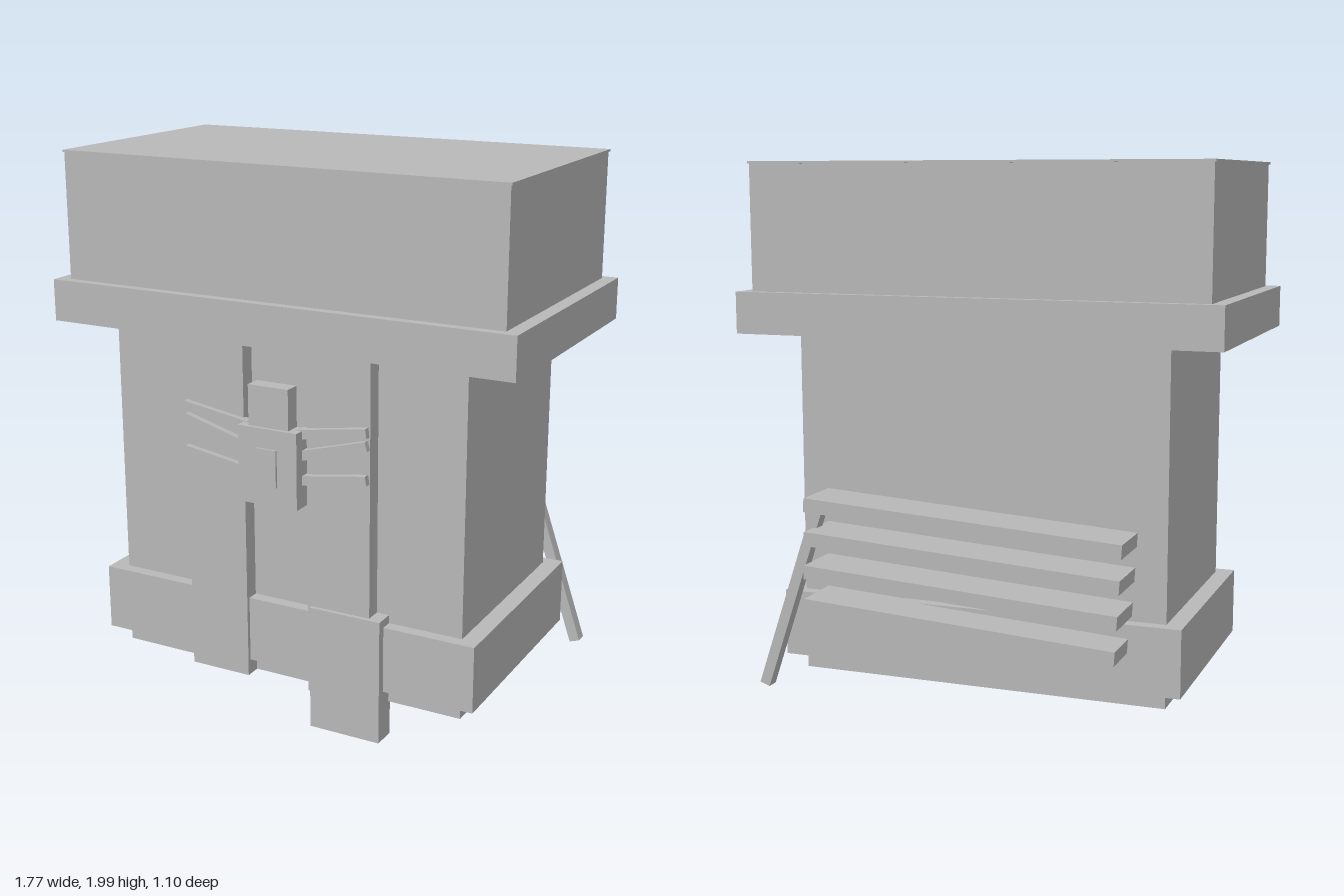
import * as THREE from 'three';

export function createModel() {
  const model = new THREE.Group();
  const stone = new THREE.MeshStandardMaterial({ color: 0xb8b8b8 });
  stone.name = 'grey stone';

  // Box given by its lower and upper limits on each axis
  function block(name, [x0, x1], [y0, y1], [z0, z1], parent = model) {
    const mesh = new THREE.Mesh(new THREE.BoxGeometry(x1 - x0, y1 - y0, z1 - z0), stone);
    mesh.position.set((x0 + x1) / 2, (y0 + y1) / 2, (z0 + z1) / 2);
    mesh.name = name;
    parent.add(mesh);
    return mesh;
  }

  // Straight bar between two points in the xy plane
  function bar(name, [ax, ay], [bx, by], thickness, [z0, z1], parent = model) {
    const length = Math.hypot(bx - ax, by - ay);
    const mesh = new THREE.Mesh(new THREE.BoxGeometry(length, thickness, z1 - z0), stone);
    mesh.position.set((ax + bx) / 2, (ay + by) / 2, (z0 + z1) / 2);
    mesh.rotation.z = Math.atan2(by - ay, bx - ax);
    mesh.name = name;
    parent.add(mesh);
    return mesh;
  }

  // Main building masses
  block('body', [-0.685, 0.685], [0.13, 1.38], [-0.32, 0.443]);
  block('baseBand', [-0.748, 0.748], [0.187, 0.43], [-0.365, 0.487]);
  block('cornice', [-0.885, 0.885], [1.38, 1.53], [-0.428, 0.545]);
  block('upperStorey', [-0.835, 0.835], [1.53, 1.98], [-0.396, 0.51]);
  block('roof', [-0.84, 0.84], [1.98, 1.988], [-0.4, 0.514]);

  // Front pilasters and the pedestal before them
  block('rightPilaster', [-0.363, -0.127], [0.13, 1.38], [0.43, 0.502]);
  block('leftPilaster', [0.122, 0.363], [0.13, 1.38], [0.43, 0.502]);
  block('pedestal', [0.138, 0.41], [0, 0.46], [0.43, 0.518]);

  // Winged emblem figure
  const figure = new THREE.Group();
  figure.name = 'wingedFigure';
  model.add(figure);
  block('torso', [-0.114, 0.116], [0.83, 1.105], [0.49, 0.563], figure);
  block('head', [-0.079, 0.077], [1.105, 1.25], [0.49, 0.549], figure);
  block('chestPlate', [-0.041, 0.039], [0.9, 1.035], [0.563, 0.571], figure);
  const feathers = [[1.09, 1.13], [1.013, 1.085], [0.925, 0.965]];
  for (const side of [-1, 1]) {
    for (const [inner, outer] of feathers) {
      bar('wingFeather', [side * 0.1, inner], [side * 0.358, outer], 0.034, [0.49, 0.525], figure);
    }
  }

  // Slanting stack of slats on the back
  for (let i = 0; i < 4; i++) {
    const y = 0.794 - i * 0.122;
    const shift = i * 0.007;
    bar('backSlat', [-0.582 + shift, y - 0.073], [0.582 + shift * 0.3, y], 0.05, [-0.526, -0.334]);
  }

  // Leaning prop beside the slats
  bar('prop', [0.562, 0.78], [0.796, 0.09], 0.04, [-0.453, -0.407]);

  return model;
}
